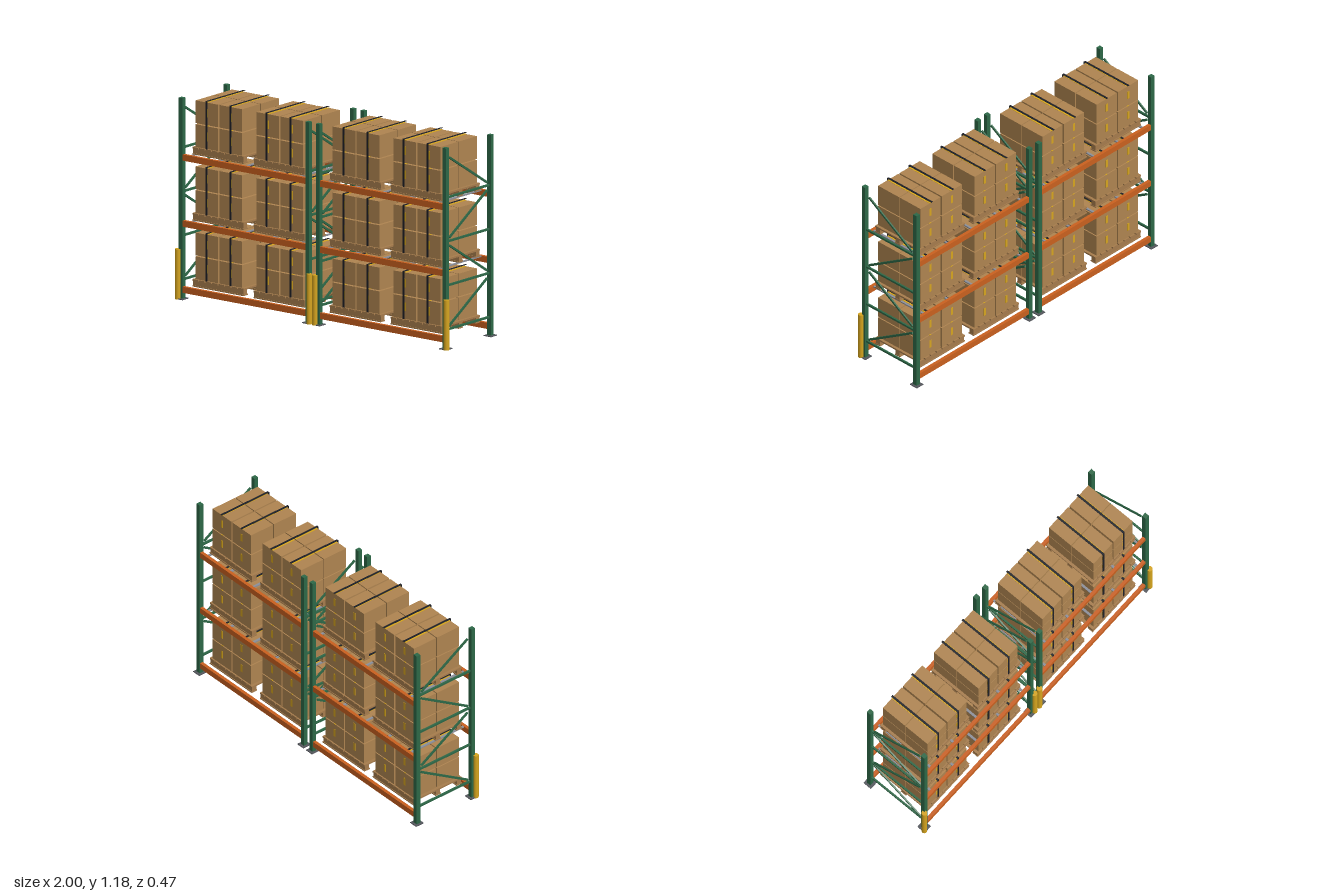
import * as THREE from 'three';

const mat = (name, color) => Object.assign(new THREE.MeshStandardMaterial({ color }), { name });

export function createModel() {
  const green = mat('upright green', 0x2d6847);
  const orange = mat('beam orange', 0xc9601f);
  const steel = mat('galvanised steel', 0x8c8f99);
  const plate = mat('base plate grey', 0x55585e);
  const gold = mat('guard yellow', 0xd6a51e);
  const card = mat('cardboard', 0xae8450);
  const wood = mat('pallet wood', 0xa67c4c);
  const black = mat('strap black', 0x1d1f26);

  const model = new THREE.Group();
  model.name = 'palletRack';
  const ZC = -0.003; // middle of the rack depth

  const box = (parent, name, material, w, h, d, x, y, z) => {
    const m = new THREE.Mesh(new THREE.BoxGeometry(w, h, d), material);
    m.name = name;
    m.position.set(x, y, z);
    parent.add(m);
    return m;
  };
  const group = (parent, name, x, y, z) => {
    const g = new THREE.Group();
    g.name = name;
    g.position.set(x, y, z);
    parent.add(g);
    return g;
  };

  // Upright frame: two posts, base plates, horizontals, zigzag braces, post guard
  function frame(parent, x, outward) {
    const f = group(parent, 'uprightFrame', x, 0, 0);
    for (const s of [-1, 1]) {
      box(f, 'post', green, 0.027, 1.18, 0.027, 0, 0.595, s * 0.204);
      box(f, 'basePlate', plate, 0.053, 0.005, 0.056, 0, 0.0025, s * 0.204);
    }
    for (let i = 0; i < 4; i++) {
      const y = 0.113 + i * 0.259;
      box(f, 'horizontalBrace', green, 0.011, 0.012, 0.382, 0, y, 0);
      const dz = 0.345, dy = 0.213;
      const d = box(f, 'diagonalBrace', green, 0.009, 0.012, Math.hypot(dz, dy), 0, y + 0.1255, 0);
      d.rotation.x = Math.atan2(dy, dz) * (i % 2 ? -1 : 1);
    }
    const guard = new THREE.Mesh(new THREE.CylinderGeometry(0.0165, 0.0165, 0.295, 20), gold);
    guard.name = 'postGuard';
    guard.position.set(outward * 0.0175, 0.1475, 0.2175 - ZC);
    f.add(guard);
  }

  // Pallet: three runners on bottom boards, with deck slats across
  function pallet(parent) {
    const p = group(parent, 'pallet', 0, 0, 0);
    for (const z of [-0.156, 0, 0.156]) {
      box(p, 'bottomBoard', wood, 0.374, 0.007, 0.04, 0, 0.0035, z);
      box(p, 'runner', wood, 0.37, 0.027, 0.032, 0, 0.0205, z);
    }
    for (let i = 0; i < 8; i++)
      box(p, 'deckSlat', wood, 0.04, 0.01, 0.352, -0.167 + i * 0.0477, 0.039, 0);
  }

  // Load: 2 x 2 x 2 taped cartons, held by two straps
  function load(parent, index) {
    const l = group(parent, 'cartonLoad', 0, 0.045, 0);
    for (const sx of [-1, 1]) {
      const x = sx * 0.088;
      for (let k = 0; k < 2; k++) {
        const y = 0.0665 + k * 0.14;
        for (const sz of [-1, 1]) {
          const z = sz * 0.0855;
          box(l, 'carton', card, 0.166, 0.133, 0.165, x, y, z);
          box(l, 'topTape', gold, 0.016, 0.002, 0.165, x, y + 0.067, z);
          box(l, 'endTape', gold, 0.016, 0.05, 0.002, x, y + 0.005, sz * 0.1685);
        }
      }
      const xs = x + (index % 2 ? -0.004 : 0.003);
      box(l, 'topStrap', black, 0.013, 0.002, 0.352, xs, 0.281, 0);
      box(l, 'frontStrap', black, 0.013, 0.281, 0.002, xs, 0.1405, 0.175);
    }
  }

  // Two bays, each with its own pair of frames and three beam levels
  let index = 0;
  for (const side of [-1, 1]) {
    const bay = group(model, side < 0 ? 'rightBay' : 'leftBay', side * 0.502, 0, ZC);
    for (const s of [-1, 1]) frame(bay, s * 0.4635, s);
    [0.075, 0.464, 0.853].forEach((top, level) => {
      const shelf = group(bay, 'level' + (level + 1), 0, top, 0);
      for (const s of [-1, 1])
        box(shelf, 'loadBeam', orange, 0.9, 0.036, 0.02, 0, -0.018, s * 0.205);
      if (level > 0)
        for (let i = 0; i < 5; i++)
          box(shelf, 'supportBar', steel, 0.014, 0.007, 0.39, -0.4 + i * 0.2, -0.0035, 0);
      for (const s of [-1, 1]) {
        const unit = group(shelf, 'palletUnit', s * 0.223, 0, 0);
        pallet(unit);
        load(unit, index++);
      }
    });
  }
  return model;
}
